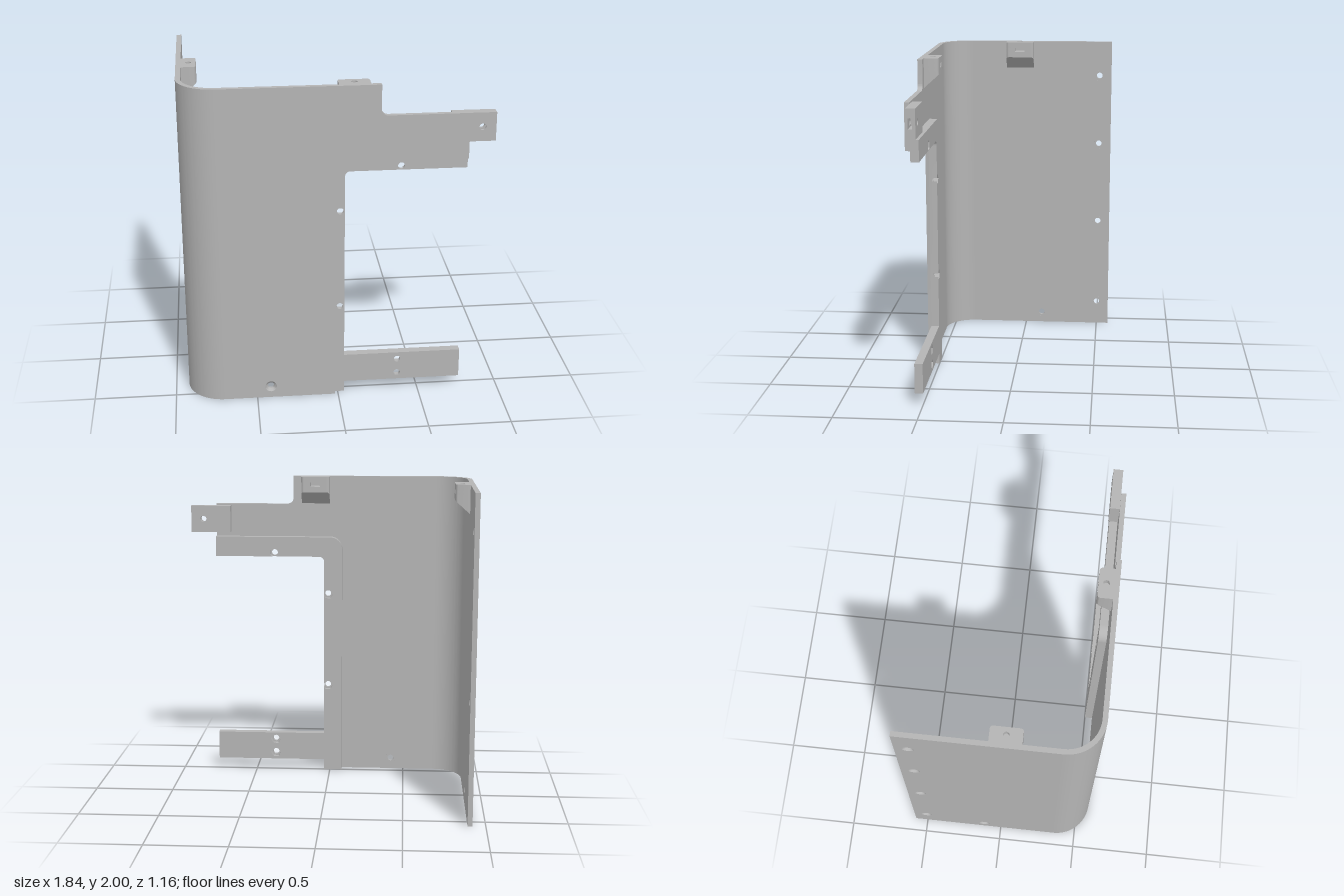
import * as THREE from 'three';
import { toCreasedNormals } from 'three/addons/utils/BufferGeometryUtils.js';

const grey = new THREE.MeshStandardMaterial({ color: 0xb4b4b4 });
grey.name = 'grey plastic';

const WALL = 0.03, BORE = 0.02, SINK = 0.035;

function outline(points) {
  return new THREE.Shape(points.map(([x, y]) => new THREE.Vector2(x, y)));
}

function circle(x, y, r) {
  return new THREE.Path().absarc(x, y, r, 0, Math.PI * 2, true);
}

function hexagon(x, y, r) {
  const pts = [];
  for (let i = 0; i < 6; i++) {
    const a = -i * Math.PI / 3;
    pts.push(new THREE.Vector2(x + r * Math.cos(a), y + r * Math.sin(a)));
  }
  return new THREE.Path(pts);
}

function slab(shape, depth, holes = []) {
  shape.holes.push(...holes);
  return new THREE.ExtrudeGeometry(shape, { depth, bevelEnabled: false, curveSegments: 16 });
}

function add(parent, name, geometry, x = 0, y = 0, z = 0) {
  const mesh = new THREE.Mesh(toCreasedNormals(geometry, 0.5), grey);
  mesh.name = name;
  mesh.position.set(x, y, z);
  parent.add(mesh);
  return mesh;
}

// Ring filling a wide hole so that it becomes a countersunk bore; its outer face is at +y
function countersink() {
  const p = [[BORE, 0], [SINK, 0], [SINK, WALL], [BORE, WALL / 2], [BORE, 0]];
  return new THREE.LatheGeometry(p.map(([r, y]) => new THREE.Vector2(r, y)), 24);
}

// Screw block on a wall: sloped underside, nut slot, bore from the top
function screwBlock(name) {
  const group = new THREE.Group();
  group.name = name;
  const w = 0.0925, d = 0.09, r = 0.02, s = 0.033;
  const plan = (slot) => {
    const p = new THREE.Shape();
    p.moveTo(-w, 0);
    p.lineTo(w, 0);
    p.lineTo(w, d - r);
    p.quadraticCurveTo(w, d, w - r, d);
    if (slot) {
      p.lineTo(s, d);
      p.lineTo(s, 0.015);
      p.lineTo(-s, 0.015);
      p.lineTo(-s, d);
    }
    p.lineTo(r - w, d);
    p.quadraticCurveTo(-w, d, -w, d - r);
    return p;
  };
  const base = slab(plan(false), 0.117);
  const pos = base.attributes.position;
  for (let i = 0; i < pos.count; i++) {
    if (pos.getZ(i) < 0.001) pos.setZ(i, 0.08 * pos.getY(i) / d);
  }
  base.computeVertexNormals();
  add(group, 'blockBase', base.rotateX(-Math.PI / 2), 0, 1.82, 0);
  add(group, 'blockNutSlot', slab(plan(true), 0.026).rotateX(-Math.PI / 2), 0, 1.937, 0);
  add(group, 'blockTop', slab(plan(false), 0.037, [circle(0, 0.045, 0.018)]).rotateX(-Math.PI / 2), 0, 1.963, 0);
  return group;
}

// Outline of the backing frame, optionally with nut pockets breaking its inner edge
function frameOutline(pockets) {
  const s = new THREE.Shape();
  const nut = [[-0.012, 0], [-0.0286, 0.0105], [-0.0286, 0.0435], [0, 0.06],
    [0.0286, 0.0435], [0.0286, 0.0105], [0.012, 0]];
  s.moveTo(-0.08, 0);
  s.lineTo(0.04, 0);
  s.lineTo(0.04, 0.07);
  s.lineTo(0.76, 0.07);
  s.lineTo(0.76, 0.255);
  s.lineTo(0.04, 0.255);
  if (pockets) {
    for (const y of [0.595, 1.22]) nut.forEach(([a, b]) => s.lineTo(0.04 - b, y + a));
  }
  s.lineTo(0.04, 1.435);
  s.quadraticCurveTo(0.04, 1.47, 0.075, 1.47);
  if (pockets) nut.forEach(([a, b]) => s.lineTo(0.37 + a, 1.47 + b));
  s.lineTo(0.76, 1.47);
  s.lineTo(0.76, 1.6);
  s.lineTo(0, 1.6);
  s.absarc(0, 1.52, 0.08, Math.PI / 2, Math.PI, false);
  return s;
}

export function createModel() {
  const model = new THREE.Group();
  model.name = 'cornerPanel';

  // Side wall, drawn in z and y
  const sideHoles = [[-0.5, 0.16], [-0.5, 0.75], [-0.5, 1.3], [-0.5, 1.77], [-0.11, 0.075]];
  const side = outline([[-0.58, 0], [0.36, 0], [0.36, 2], [-0.58, 2]]);
  add(model, 'sideWall',
    slab(side, WALL, sideHoles.map(([z, y]) => circle(z, y, SINK))).rotateY(-Math.PI / 2), -0.89, 0, 0);
  for (const [z, y] of sideHoles) {
    add(model, 'sideCountersink', countersink().rotateZ(Math.PI / 2), -0.89, y, z);
  }

  // Rounded corner between the walls
  const corner = new THREE.Shape();
  corner.absarc(0, 0, 0.22, Math.PI, Math.PI * 1.5, false);
  corner.absarc(0, 0, 0.22 - WALL, Math.PI * 1.5, Math.PI, true);
  add(model, 'roundedCorner', slab(corner, 2).rotateX(-Math.PI / 2), -0.7, 0, 0.36);

  // Front wall with its upper arm
  const front = new THREE.Shape();
  front.moveTo(-0.7, 0);
  front.lineTo(-0.02, 0);
  front.lineTo(-0.02, 1.47);
  front.absarc(0.045, 1.47, 0.065, Math.PI, Math.PI / 2, true);
  front.lineTo(0.76, 1.535);
  front.lineTo(0.76, 1.815);
  front.lineTo(0.285, 1.815);
  front.absarc(0.285, 1.855, 0.04, Math.PI * 1.5, Math.PI, true);
  front.lineTo(0.245, 2);
  front.lineTo(-0.7, 2);
  add(model, 'frontWall', slab(front, WALL, [circle(-0.415, 0.075, SINK)]), 0, 0, 0.55);
  add(model, 'frontCountersink', countersink().rotateX(Math.PI / 2), -0.415, 0.075, 0.55);

  // Backing frame: bored front layer and a rear layer with nut pockets
  const barHoles = [[0.37, 0.21], [0.37, 0.115]];
  const bores = [...barHoles, [0.013, 0.595], [0.013, 1.22], [0.37, 1.495]];
  add(model, 'frameFrontLayer',
    slab(frameOutline(false), 0.02, bores.map(([x, y]) => circle(x, y, BORE))), 0, 0, 0.53);
  add(model, 'frameRearLayer',
    slab(frameOutline(true), 0.03, barHoles.map(([x, y]) => hexagon(x, y, 0.033))), 0, 0, 0.5);

  // End tab with a bore and a nut slot open at its end
  const tab = () => outline([[0.66, 1.63], [0.92, 1.63], [0.92, 1.805], [0.66, 1.805]]);
  const slotted = outline([[0.66, 1.63], [0.92, 1.63], [0.92, 1.688], [0.81, 1.688],
    [0.81, 1.748], [0.92, 1.748], [0.92, 1.805], [0.66, 1.805]]);
  add(model, 'tabRear', slab(tab(), 0.018, [circle(0.84, 1.718, BORE)]), 0, 0, 0.492);
  add(model, 'tabNutSlot', slab(slotted, 0.025), 0, 0, 0.51);
  add(model, 'tabFront', slab(tab(), 0.015, [circle(0.84, 1.718, BORE)]), 0, 0, 0.535);

  // Screw blocks at the top edge
  const frontBlock = screwBlock('frontScrewBlock');
  frontBlock.position.set(0.095, 0, 0.55);
  const sideBlock = screwBlock('sideScrewBlock');
  sideBlock.rotation.y = -Math.PI / 2;
  sideBlock.position.set(-0.89, 0, 0.0425);
  model.add(frontBlock, sideBlock);

  return model;
}
